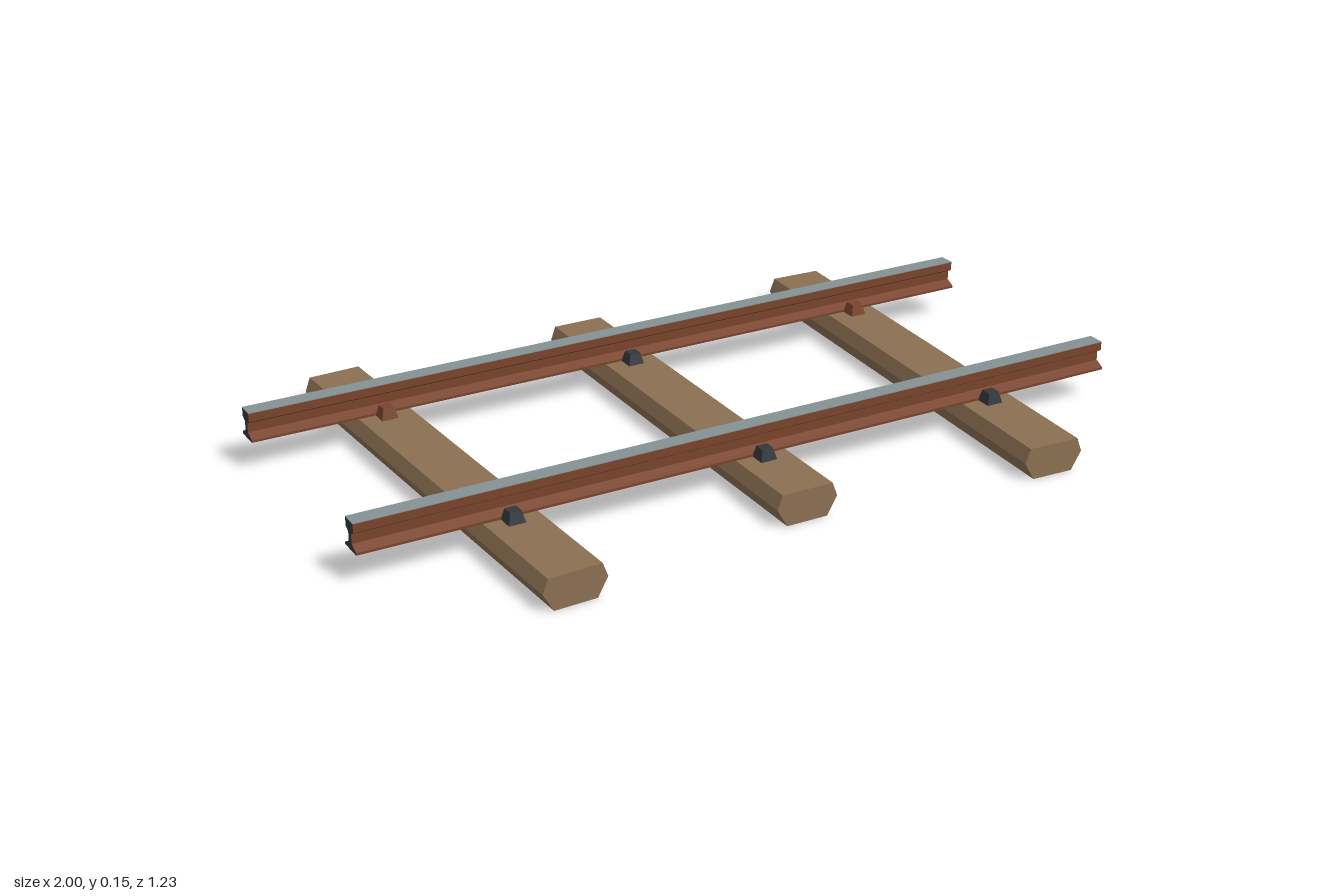
import * as THREE from 'three';

const wood = new THREE.MeshStandardMaterial({ name: 'wood', color: 0x8a6f51 });
const rust = new THREE.MeshStandardMaterial({ name: 'rust', color: 0x78432c });
const steel = new THREE.MeshStandardMaterial({ name: 'polishedSteel', color: 0x849192 });
const iron = new THREE.MeshStandardMaterial({ name: 'darkIron', color: 0x33373c });

// Mirrored profile (half widths listed from bottom to top), extruded about its middle.
function symmetricBar(half, length) {
  const right = half.map(([x, y]) => new THREE.Vector2(x, y));
  const left = half.map(([x, y]) => new THREE.Vector2(-x, y)).reverse();
  const geo = new THREE.ExtrudeGeometry(new THREE.Shape([...right, ...left]), { depth: length, bevelEnabled: false });
  return geo.translate(0, 0, -length / 2);
}

function addMesh(parent, name, geometry, material, x, y, z) {
  const mesh = new THREE.Mesh(geometry, material);
  mesh.name = name;
  mesh.position.set(x, y, z);
  parent.add(mesh);
  return mesh;
}

export function createModel() {
  const model = new THREE.Group();
  model.name = 'railwayTrack';
  const deck = 0.08;

  // Sleepers: six-sided beams, the outer two splayed slightly
  const sleeperProfile = [[0.053, 0], [0.079, 0.045], [0.066, deck]];
  const splay = 0.0425;
  const sleepers = [
    { name: 'rightSleeper', x: -0.653, z: 0, length: 1.226, turn: splay },
    { name: 'middleSleeper', x: 0, z: -0.0375, length: 1.133, turn: 0 },
    { name: 'leftSleeper', x: 0.653, z: 0, length: 1.226, turn: -splay },
  ];
  for (const s of sleepers) {
    addMesh(model, s.name, symmetricBar(sleeperProfile, s.length), wood, s.x, 0, s.z).rotation.y = s.turn;
  }

  // Rails: foot, web and head, dark cut ends and a worn running surface
  const railProfile = [[0.031, 0], [0.031, 0.006], [0.008, 0.018], [0.008, 0.041], [0.021, 0.049], [0.021, 0.07]];
  const railGeo = symmetricBar(railProfile, 2).rotateY(Math.PI / 2);
  const treadGeo = new THREE.BoxGeometry(2, 0.002, 0.042);

  // Clips: small tapered blocks on both sides of each rail
  const clipGeo = new THREE.CylinderGeometry(0.014 * Math.SQRT2, 0.021 * Math.SQRT2, 0.028, 4, 1).toNonIndexed();
  clipGeo.rotateY(Math.PI / 4).computeVertexNormals();

  for (const [side, z, outward] of [['front', 0.293, 1], ['back', -0.349, -1]]) {
    addMesh(model, side + 'Rail', railGeo, [iron, rust], 0, deck, z);
    addMesh(model, side + 'RailTread', treadGeo, steel, 0, deck + 0.071, z);
    for (const s of sleepers) {
      const x = s.x + z * Math.tan(s.turn);
      const innerMaterial = side === 'back' && s.x === 0 ? iron : rust;
      addMesh(model, side + 'OuterClip', clipGeo, iron, x, deck + 0.014, z + outward * 0.049);
      addMesh(model, side + 'InnerClip', clipGeo, innerMaterial, x, deck + 0.014, z - outward * 0.05);
    }
  }
  return model;
}
